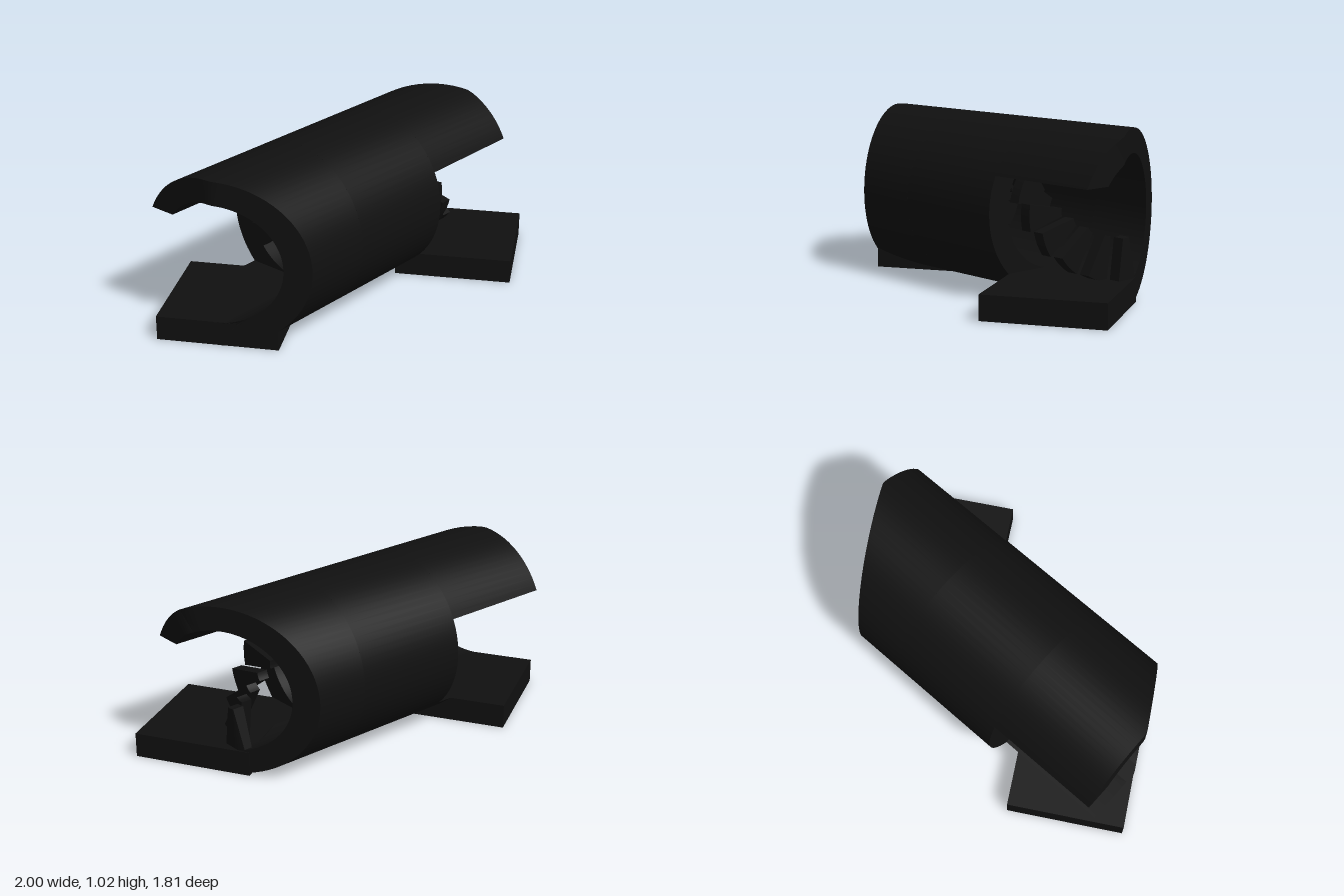
import * as THREE from 'three';
import { toCreasedNormals } from 'three/addons/utils/BufferGeometryUtils.js';

const R = 0.51, r = 0.367;            // tube radii
const HALF = 0.9;                     // front and back faces at z = +-HALF
const COS = Math.cos(Math.PI / 6);
const material = new THREE.MeshStandardMaterial({ color: 0x101010, side: THREE.DoubleSide });
const { degToRad, radToDeg, clamp, lerp } = THREE.MathUtils;

// Solid between an outer and an inner arc (degrees), running along the tube axis
// from s0 to s1 and trimmed by the front and back planes
function sector(name, ro, ri, [o0, o1], [i0, i1], s0, s1, n) {
  const pos = [], index = [];
  const corner = (q, deg, s) => {
    const t = degToRad(deg), u = q * Math.cos(t);
    pos.push(u, q * Math.sin(t), clamp(s, (-HALF - u / 2) / COS, (HALF - u / 2) / COS));
  };
  for (let k = 0; k <= n; k++) {
    const o = lerp(o0, o1, k / n), i = lerp(i0, i1, k / n);
    corner(ro, o, s0);
    corner(ro, o, s1);
    corner(ri, i, s1);
    corner(ri, i, s0);
  }
  for (let k = 0; k < n; k++) {
    for (let j = 0; j < 4; j++) {
      const a = 4 * k + j, b = 4 * k + (j + 1) % 4;
      index.push(a, a + 4, b + 4, a, b + 4, b);
    }
  }
  // End faces, left off a full ring
  if (o1 - o0 < 360) {
    const e = 4 * n;
    index.push(0, 1, 2, 0, 2, 3, e, e + 2, e + 1, e, e + 3, e + 2);
  }
  const g = new THREE.BufferGeometry();
  g.setAttribute('position', new THREE.Float32BufferAttribute(pos, 3));
  g.setIndex(index);
  const mesh = new THREE.Mesh(toCreasedNormals(g, 0.5), material);
  mesh.name = name;
  return mesh;
}

export function createModel() {
  const model = new THREE.Group();
  model.name = 'slantedTunnel';

  // Tube, turned 30 degrees from the z axis
  const tube = new THREE.Group();
  tube.name = 'tube';
  tube.position.set(-0.087, R, 0);
  tube.rotation.y = -Math.PI / 6;
  model.add(tube);
  tube.add(sector('middleRing', R, r, [0, 360], [0, 360], -0.418, 0.314, 72));

  // Side openings run from the plate top up to the canopy edge
  const angle = (y, q) => radToDeg(Math.asin(y / q));
  const top = 0.22, low = -0.362;
  const to = angle(top, R), ti = angle(top, r), lo = angle(low, R), li = angle(low, r);
  tube.add(sector('frontCanopy', R, r, [-180 - lo, 180 - to], [-180 - li, 180 - ti], 0.314, 1.03, 64));
  tube.add(sector('backCanopy', R, r, [to, 360 + lo], [ti, 360 + li], -1.14, -0.418, 64));

  // Spiral of wedge steps inside the tube
  const steps = 14;
  for (let i = 0; i < steps; i++) {
    const t = i / (steps - 1);
    const a = lerp(208, -95, t), s = lerp(0.29, -0.96, t);
    const span = [a - 12, a + 12];
    tube.add(sector('spiralStep', r + 0.01, 0.12, span, span, s - 0.035, s + 0.035, 4));
  }

  // Square floor plates at the two openings
  for (const [name, x, z] of [['frontPlate', -0.58, 0.535], ['backPlate', 0.64, -0.545]]) {
    const plate = new THREE.Mesh(new THREE.BoxGeometry(0.72, 0.148, 0.72), material);
    plate.name = name;
    plate.position.set(x, 0.074, z);
    model.add(plate);
  }
  return model;
}
